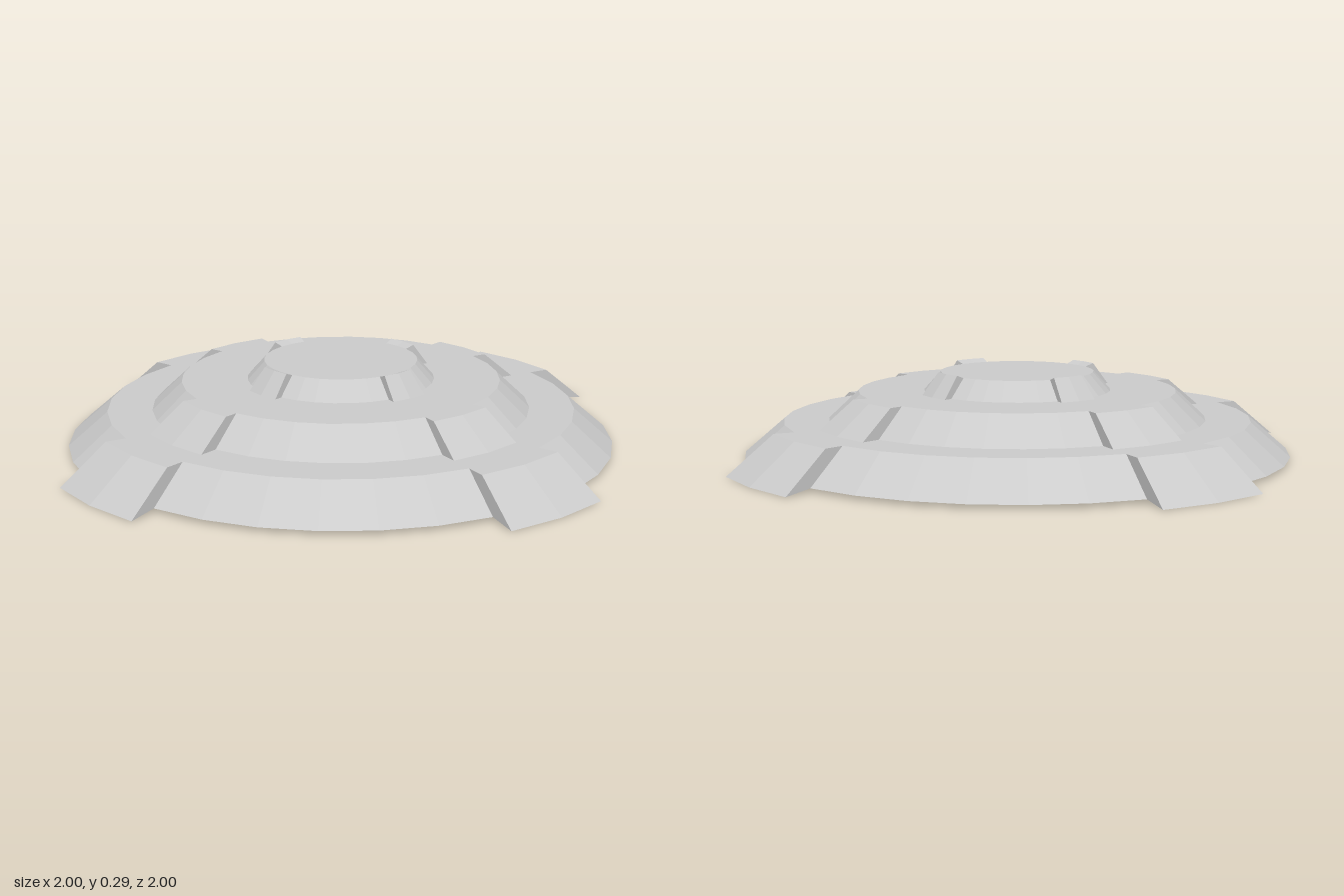
import * as THREE from 'three';
import { mergeGeometries } from 'three/addons/utils/BufferGeometryUtils.js';

const SEGMENTS = 32;
const STEP = (Math.PI * 2) / SEGMENTS;

const toPoints = (list) => list.map(([r, y]) => new THREE.Vector2(r, y));

// Closed wedge: a profile swept over two segments, with a flat wall at each end
function wedgeGeometry(profile) {
  const points = toPoints(profile);
  const skin = new THREE.LatheGeometry([...points, points[0]], 2, -STEP, STEP * 2);
  const startWall = new THREE.ShapeGeometry(new THREE.Shape(points));
  startWall.rotateY(-STEP - Math.PI / 2);
  const mirrored = points.map((p) => new THREE.Vector2(-p.x, p.y));
  const endWall = new THREE.ShapeGeometry(new THREE.Shape(mirrored));
  endWall.rotateY(STEP + Math.PI / 2);
  return mergeGeometries([skin, startWall, endWall]);
}

export function createModel() {
  const group = new THREE.Group();
  const material = new THREE.MeshStandardMaterial({ color: 0xcccccc, flatShading: true });

  // Three-tier stepped disc with a flat top and underside
  const bodyProfile = toPoints([
    [0, 0.013], [0.905, 0.013], [0.775, 0.125],
    [0.627, 0.125], [0.528, 0.218],
    [0.31, 0.218], [0.254, 0.28], [0, 0.28],
  ]);
  const body = new THREE.Mesh(new THREE.LatheGeometry(bodyProfile, SEGMENTS), material);
  body.name = 'steppedDisc';
  group.add(body);

  // Raised wedges on the slope of each tier, repeated on four sides
  const wedges = {
    lowerWedge: [[0.775, 0.125], [0.905, 0.013], [1, 0], [0.843, 0.125]],
    middleWedge: [[0.528, 0.218], [0.627, 0.125], [0.692, 0.125], [0.576, 0.218]],
    upperWedge: [[0.254, 0.28], [0.31, 0.218], [0.339, 0.218], [0.283, 0.29]],
  };
  for (const [name, profile] of Object.entries(wedges)) {
    const geometry = wedgeGeometry(profile);
    for (let i = 0; i < 4; i++) {
      const wedge = new THREE.Mesh(geometry, material);
      wedge.name = name + (i + 1);
      wedge.rotation.y = (i * Math.PI) / 2;
      group.add(wedge);
    }
  }
  return group;
}
